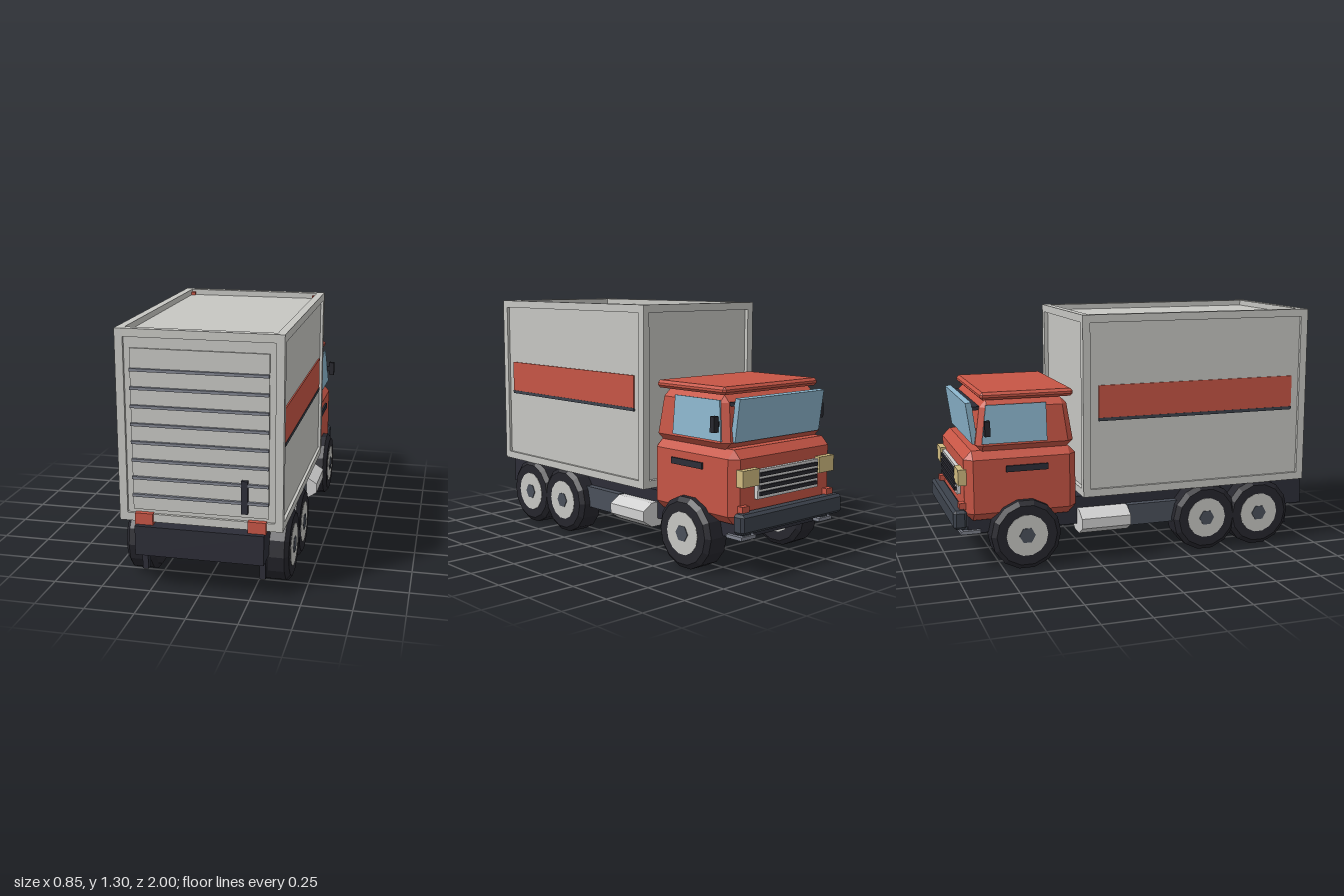
import * as THREE from 'three';
import { ConvexGeometry } from 'three/addons/geometries/ConvexGeometry.js';

const mat = (name, color, extra = {}) => {
  const m = new THREE.MeshStandardMaterial({ color, flatShading: true, ...extra });
  m.name = name;
  return m;
};

export function createModel() {
  const truck = new THREE.Group();
  truck.name = 'boxTruck';
  const body = mat('bodyGrey', 0xc6c6c2);
  const red = mat('cabRed', 0xc65545);
  const dark = mat('chassisDark', 0x2c2d37);
  const tyreMat = mat('tyreBlack', 0x26262d);
  const slate = mat('slate', 0x4a505b);
  const bumperMat = mat('bumperSlate', 0x3c424c);
  const steel = mat('slatSteel', 0x7f838e);
  const glass = mat('glassBlue', 0x8ab4cb);
  const lamp = mat('lampYellow', 0xd0bb80);
  const silver = mat('silver', 0xd0d0d0);

  const add = (name, geo, material, parent = truck) => {
    const m = new THREE.Mesh(geo, material);
    m.name = name;
    parent.add(m);
    return m;
  };
  // Box given by its minimum and maximum on each axis
  const box = (name, material, x0, x1, y0, y1, z0, z1) => {
    const m = add(name, new THREE.BoxGeometry(x1 - x0, y1 - y0, z1 - z0), material);
    m.position.set((x0 + x1) / 2, (y0 + y1) / 2, (z0 + z1) / 2);
    return m;
  };
  // The same box on both sides
  const pair = (name, material, x0, x1, ...r) => {
    box(name + 'Left', material, x0, x1, ...r);
    box(name + 'Right', material, -x1, -x0, ...r);
  };
  // Box with chamfered edges and an optional rule that moves its corners
  const chamferBox = (name, material, w, y0, y1, z0, z1, b, rule) => {
    const h = (y1 - y0) / 2, d = (z1 - z0) / 2, pts = [];
    for (const sx of [-1, 1]) for (const sy of [-1, 1]) for (const sz of [-1, 1])
      for (let k = 0; k < 3; k++) {
        const p = new THREE.Vector3(
          sx * (w - (k === 0 ? 0 : b)),
          sy * (h - (k === 1 ? 0 : b)) + (y0 + y1) / 2,
          sz * (d - (k === 2 ? 0 : b)) + (z0 + z1) / 2);
        if (rule) rule(p);
        pts.push(p);
      }
    return add(name, new ConvexGeometry(pts), material);
  };

  // Chassis
  box('chassis', dark, -0.32, 0.32, 0.19, 0.34, -0.92, 1.0);
  pair('mudFlap', dark, 0.283, 0.312, 0.08, 0.2, 0.87, 0.915);
  pair('sideLocker', slate, 0.26, 0.36, 0.165, 0.28, -0.06, 0.24);
  for (const s of [-1, 1]) {
    const geo = new THREE.CylinderGeometry(0.106, 0.106, 0.27, 8)
      .rotateY(Math.PI / 8).rotateX(Math.PI / 2).scale(1, 0.65, 1);
    add('fuelTank', geo, silver).position.set(s * 0.32, 0.213, -0.2);
  }

  // Wheels: chamfered tyre, pale rim and hexagonal hub
  const tyreProfile = [[0.09, -0.073], [0.16, -0.073], [0.185, -0.055], [0.185, 0.053],
    [0.16, 0.073], [0.09, 0.073]].map(([r, y]) => new THREE.Vector2(r, y));
  for (const z of [-0.63, 0.375, 0.69]) for (const s of [-1, 1]) {
    const wheel = new THREE.Group();
    wheel.name = 'wheel';
    const front = z < 0 ? 0.004 : 0;
    add('tyre', new THREE.LatheGeometry(tyreProfile, 14), tyreMat, wheel);
    add('rim', new THREE.CylinderGeometry(0.11, 0.11, 0.15, 14), body, wheel);
    add('hub', new THREE.CylinderGeometry(0.043, 0.043, 0.158, 6), slate, wheel);
    wheel.rotation.z = -s * Math.PI / 2;
    wheel.position.set(s * (0.342 + front), 0.183, z);
    truck.add(wheel);
  }

  // Cargo box: recessed panels inside a frame of twelve beams
  box('cargoPanels', body, -0.39, 0.39, 0.37, 1.275, -0.3, 0.948);
  const t = 0.04, [yb, yt, zf, zr, xw] = [0.353, 1.305, -0.322, 0.963, 0.405];
  for (const [z0, z1] of [[zf, zf + t], [zr - t, zr]]) {
    pair('cornerPost', body, xw - t, xw, yb, yt, z0, z1);
    box('lowerCrossBeam', body, -xw + t, xw - t, yb, yb + t, z0, z1);
    box('upperCrossBeam', body, -xw + t, xw - t, yt - t, yt, z0, z1);
  }
  for (const y of [yb, yt - t]) pair('sideBeam', body, xw - t, xw, y, y + t, zf + t, zr - t);
  pair('roofMarker', red, 0.342, 0.366, 1.27, 1.292, -0.285, -0.262);

  // Side stripes
  pair('sideStripe', red, 0.388, 0.397, 0.77, 0.94, -0.235, 0.88);
  pair('stripeTrim', bumperMat, 0.388, 0.399, 0.753, 0.77, -0.235, 0.88);

  // Rear shutter, handle and lights
  box('shutter', body, -0.335, 0.335, 0.413, 1.212, 0.945, 0.958);
  for (let i = 0; i < 8; i++) {
    const y = 1.11 - i * 0.0889;
    box('shutterSlat', steel, -0.335, 0.335, y - 0.007, y + 0.007, 0.95, 0.973);
  }
  box('shutterHandle', dark, 0.205, 0.236, 0.435, 0.6, 0.95, 0.977);
  pair('rearLight', red, 0.235, 0.325, 0.338, 0.398, 0.94, 0.975);

  // Cab
  chamferBox('cabLower', red, 0.37, 0.262, 0.627, -0.935, -0.345, 0.042);
  chamferBox('cabUpper', red, 0.365, 0.62, 0.882, -0.873, -0.358, 0.035, (p) => {
    const k = Math.max(0, (p.y - 0.655) / 0.225);
    p.x *= 1 - 0.06 * k;
    p.z = -0.615 + (p.z + 0.615) * (1 - 0.13 * k);
  });
  chamferBox('cabRoof', red, 0.348, 0.885, 0.925, -0.845, -0.357, 0.014);
  box('roofNeck', red, -0.3, 0.3, 0.87, 0.89, -0.8, -0.42);
  const shield = add('windscreen', new THREE.BoxGeometry(0.625, 0.215, 0.03), glass);
  shield.position.set(0, 0.765, -0.884);
  shield.rotation.x = -0.14;
  box('windscreenTrim', dark, -0.31, 0.31, 0.832, 0.85, -0.88, -0.82);

  // Side windows, leaning in with the cab
  const win = new THREE.Shape([[0.505, 0.665], [0.845, 0.665], [0.818, 0.862], [0.505, 0.862]]
    .map(([u, v]) => new THREE.Vector2(u, v - 0.665)));
  for (const s of [-1, 1]) {
    const geo = new THREE.ExtrudeGeometry(win, { depth: 0.008, bevelEnabled: false });
    geo.translate(0, 0, -0.004).rotateY(Math.PI / 2);
    const w = add('sideWindow', geo, glass);
    w.position.set(s * 0.367, 0.665, 0);
    w.rotation.z = s * 0.09;
  }
  pair('mirror', tyreMat, 0.378, 0.408, 0.71, 0.788, -0.836, -0.808);
  pair('mirrorArm', tyreMat, 0.35, 0.385, 0.735, 0.76, -0.828, -0.816);
  pair('doorHandle', dark, 0.365, 0.38, 0.515, 0.547, -0.725, -0.503);

  // Nose: grille, lamps and bumper
  box('grille', silver, -0.225, 0.225, 0.38, 0.525, -0.955, -0.92);
  for (let i = 0; i < 4; i++) {
    const y = 0.406 + i * 0.032;
    box('grilleBar', tyreMat, -0.212, 0.212, y - 0.009, y + 0.009, -0.966, -0.945);
  }
  pair('headlight', lamp, 0.225, 0.34, 0.452, 0.535, -0.966, -0.92);
  chamferBox('bumper', bumperMat, 0.376, 0.23, 0.33, -1.0, -0.93, 0.014);
  pair('bumperLamp', red, 0.29, 0.34, 0.325, 0.36, -0.964, -0.93);
  pair('bumperStep', steel, 0.24, 0.34, 0.193, 0.211, -0.96, -0.855);
  pair('bumperBracket', bumperMat, 0.265, 0.315, 0.2, 0.29, -0.95, -0.91);
  return truck;
}
